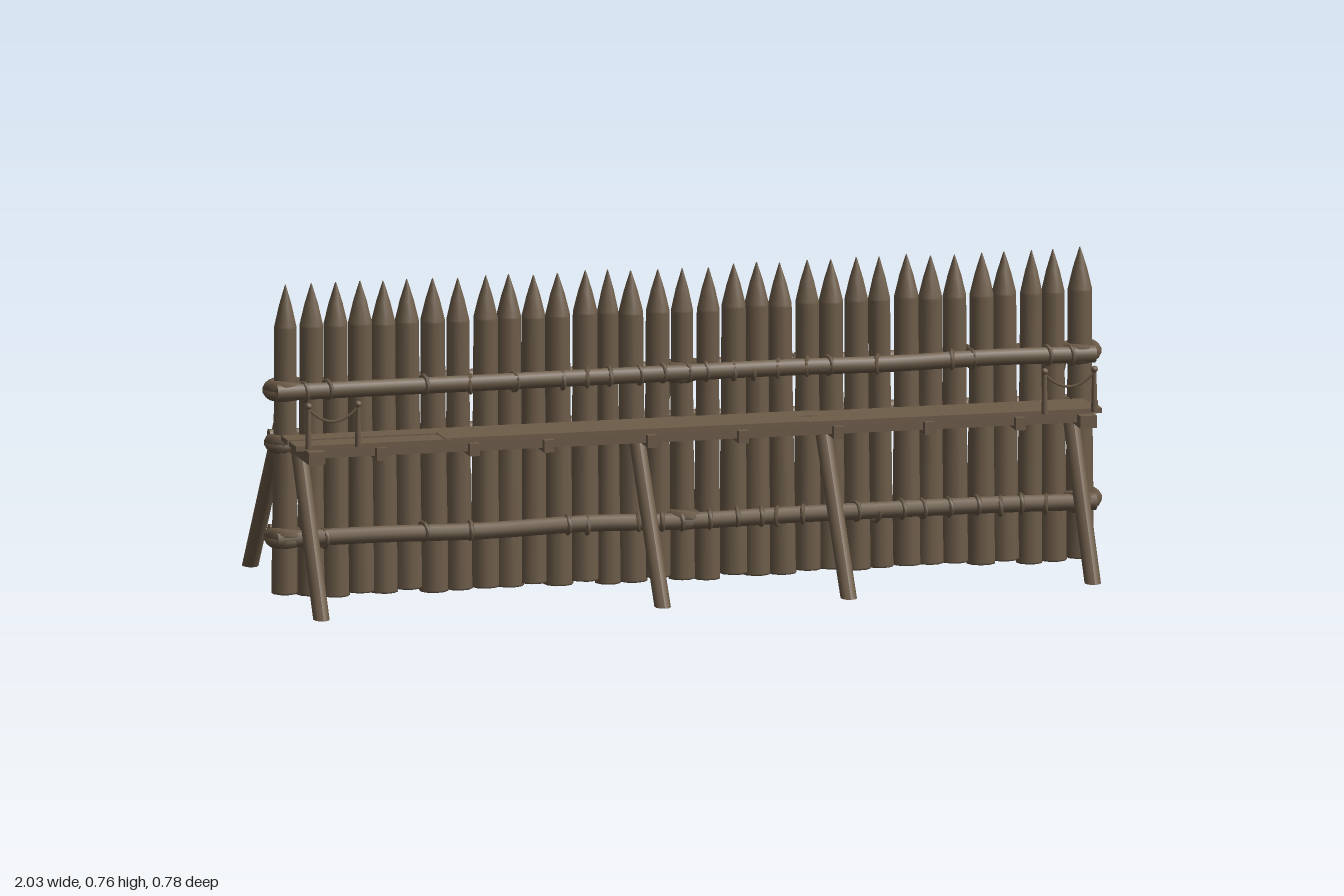
import * as THREE from 'three';

export function createModel() {
  const root = new THREE.Group();
  root.name = 'palisade';
  const wood = new THREE.MeshStandardMaterial({ color: 0x6e5d4a });
  wood.name = 'weathered wood';
  const rope = new THREE.MeshStandardMaterial({ color: 0x695845 });
  rope.name = 'rope lashing';

  let seed = 7;
  const rand = (a, b) => {
    seed = (seed * 16807) % 2147483647;
    return a + (b - a) * (seed / 2147483647);
  };
  const add = (name, geo, mat, x = 0, y = 0, z = 0, parent = root) => {
    const m = new THREE.Mesh(geo, mat);
    m.name = name;
    m.position.set(x, y, z);
    parent.add(m);
    return m;
  };
  const group = (name) => {
    const g = new THREE.Group();
    g.name = name;
    root.add(g);
    return g;
  };

  // Sharpened stakes, each slightly crooked
  const stakes = group('stakes');
  const profile = [[0.001, 0], [0.033, 0], [0.033, 0.004], [0.031, 0.2], [0.028, 0.45],
    [0.0275, 0.645], [0.0275, 0.65], [0.016, 0.70], [0.001, 0.75]];
  const count = 33;
  for (let i = 0; i < count; i++) {
    const s = rand(0.94, 1.07);
    const geo = new THREE.LatheGeometry(profile.map(([r, y]) => new THREE.Vector2(r * s, y)), 10);
    const base = rand(0.01, 0.022);
    const x = -0.96 + (1.92 * i) / (count - 1);
    const m = add('stake', geo, wood, x + rand(-0.003, 0.003), base, 0.075 + rand(-0.003, 0.003), stakes);
    m.scale.y = (rand(0.752, 0.76) - base) / 0.75;
    m.rotation.set(rand(-0.006, 0.006), rand(0, 6), rand(-0.008, 0.008));
  }

  // Long horizontal rails, gently wavy
  const rail = (name, y, z, r) => {
    const pts = [];
    for (let i = 0; i <= 8; i++) {
      pts.push(new THREE.Vector3(-0.99 + i * 0.2475, y + rand(-0.004, 0.004), z + rand(-0.002, 0.002)));
    }
    add(name, new THREE.TubeGeometry(new THREE.CatmullRomCurve3(pts), 32, r, 9), wood);
    for (const s of [-1, 1]) {
      const cap = add('railEnd', new THREE.CircleGeometry(r, 9), wood, s * 0.99, pts[s < 0 ? 0 : 8].y, pts[s < 0 ? 0 : 8].z);
      cap.rotation.y = s * Math.PI / 2;
    }
  };
  rail('upperFrontRail', 0.508, 0.108, 0.020);
  rail('upperBackRail', 0.505, 0.035, 0.020);
  rail('middleBackRail', 0.385, 0.035, 0.019);
  rail('lowerFrontRail', 0.157, 0.112, 0.020);
  rail('lowerBackRail', 0.157, 0.037, 0.020);

  // Rope wraps: loops round each rail, and collars round the end stakes
  const lashings = group('lashings');
  for (const [y, z] of [[0.508, 0.106], [0.505, 0.037], [0.157, 0.110], [0.157, 0.039]]) {
    for (let i = 0; i < count; i++) {
      const x = -0.93 + i * 0.058;
      const busy = Math.abs(x - 0.05) < 0.22 || Math.abs(x) > 0.85;
      if (!busy && rand(0, 1) > 0.45) continue;
      const t = add('ropeLoop', new THREE.TorusGeometry(0.0205, 0.006, 5, 10), rope,
        x + rand(-0.01, 0.01), y + rand(-0.003, 0.003), z, lashings);
      t.rotation.set(0, Math.PI / 2 + rand(-0.5, 0.5), rand(-0.4, 0.4));
    }
  }
  for (const x of [-0.96, 0, 0.96]) {
    for (const [y, z, R] of [[0.508, 0.071, 0.037], [0.38, 0.062, 0.031], [0.158, 0.08, 0.036]]) {
      for (const tilt of [-0.2, 0.2]) {
        const t = add('ropeCollar', new THREE.TorusGeometry(R, 0.017, 7, 14), rope, x, y, z, lashings);
        t.rotation.set(Math.PI / 2 + tilt, tilt * 0.6, 0);
      }
    }
  }

  // Slanted props, cut level at both ends
  const prop = (name, x, yTop, zTop, zFoot) => {
    const geo = new THREE.CylinderGeometry(0.019, 0.019, yTop, 10, 4);
    geo.translate(0, yTop / 2, 0);
    const p = geo.attributes.position;
    for (let i = 0; i < p.count; i++) {
      const t = p.getY(i) / yTop;
      p.setZ(i, p.getZ(i) * 1.3 + zFoot + (zTop - zFoot) * t);
    }
    geo.computeVertexNormals();
    add(name, geo, wood, x, 0.003, 0);
  };
  for (const [x, foot] of [[-0.935, 0.325], [-0.12, 0.365], [0.33, 0.365], [0.93, 0.325]]) {
    prop('frontProp', x, 0.37, 0.105, foot);
  }
  for (const x of [-0.935, -0.02, 0.93]) prop('backProp', x, 0.5, 0.017, -0.365);

  // Peg behind the lower rail
  add('backPeg', new THREE.BoxGeometry(0.035, 0.042, 0.07), wood, 0, 0.157, 0.01);

  // Walkway: joists, planks and front edge
  const walk = group('walkway');
  for (const x of [-0.935, 0.93]) {
    add('endJoist', new THREE.BoxGeometry(0.04, 0.03, 0.175), wood, x, 0.38, 0.1975, walk);
  }
  for (const x of [-0.775, -0.55, -0.37, -0.12, 0.1, 0.33, 0.55, 0.77]) {
    add('joist', new THREE.BoxGeometry(0.024, 0.03, 0.16), wood, x, 0.38, 0.19, walk);
  }
  const plank = (x0, x1, z0, z1, y = 0.4) => {
    const m = add('plank', new THREE.BoxGeometry(x1 - x0, 0.012, z1 - z0), wood,
      (x0 + x1) / 2, y, (z0 + z1) / 2, walk);
    m.rotation.x = rand(-0.01, 0.01);
  };
  plank(-0.98, 0.3, 0.115, 0.178);
  plank(0.2, 0.96, 0.115, 0.183, 0.398);
  plank(-0.98, -0.55, 0.192, 0.258);
  plank(-0.62, 0.26, 0.172, 0.256, 0.402);
  plank(0.22, 0.97, 0.192, 0.255);
  add('edgeBeam', new THREE.BoxGeometry(1.9, 0.024, 0.014), wood, 0, 0.386, 0.245, walk);

  // Small posts joined by slack cord at both walkway ends
  for (const s of [-1, 1]) {
    for (const x of [0.95, 0.83]) {
      add('cordPost', new THREE.CylinderGeometry(0.005, 0.008, 0.1, 7), wood, s * x, 0.45, 0.261, walk);
      add('postKnob', new THREE.SphereGeometry(0.0085, 8, 6), wood, s * x, 0.501, 0.261, walk);
    }
    const sag = new THREE.QuadraticBezierCurve3(new THREE.Vector3(s * 0.95, 0.495, 0.261),
      new THREE.Vector3(s * 0.89, 0.43, 0.261), new THREE.Vector3(s * 0.83, 0.495, 0.261));
    add('slackCord', new THREE.TubeGeometry(sag, 10, 0.0035, 5), rope, 0, 0, 0, walk);
  }
  return root;
}
